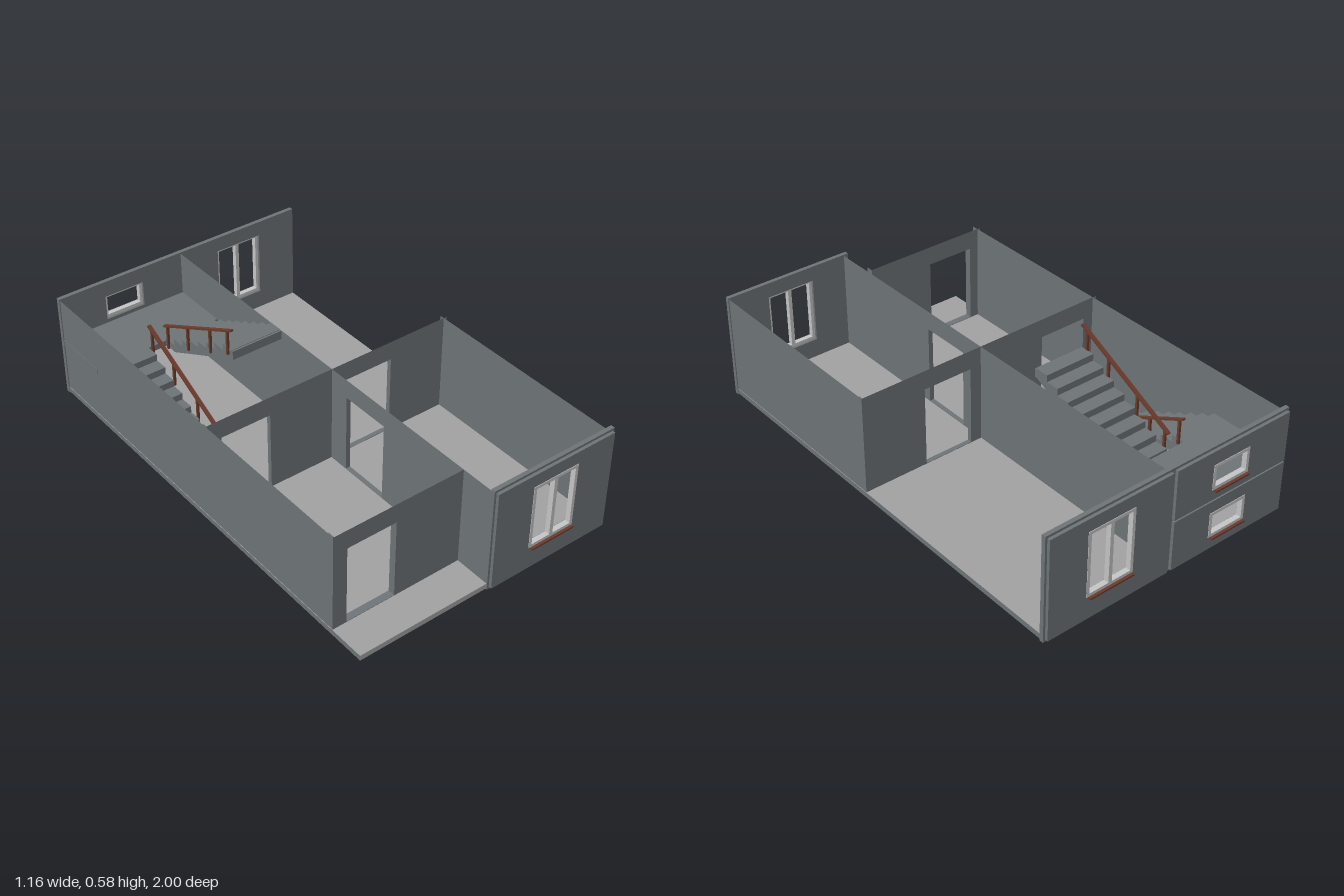
import * as THREE from 'three';

const mat = (name, color) => {
  const m = new THREE.MeshStandardMaterial({ color });
  m.name = name;
  return m;
};

export function createModel() {
  const model = new THREE.Group();
  model.name = 'houseStorey';
  const wallGrey = mat('wallGrey', 0x6d7376);
  const floorGrey = mat('floorGrey', 0xa0a0a0);
  const frameGrey = mat('frameGrey', 0xc4c4c4);
  const wood = mat('wood', 0x6b3a2c);

  const add = (parent, name, geometry, material) => {
    const mesh = new THREE.Mesh(geometry, material);
    mesh.name = name;
    parent.add(mesh);
    return mesh;
  };

  // Box given by its min and max corners
  const box = (parent, name, material, x0, x1, y0, y1, z0, z1) => {
    const mesh = add(parent, name, new THREE.BoxGeometry(x1 - x0, y1 - y0, z1 - z0), material);
    mesh.position.set((x0 + x1) / 2, (y0 + y1) / 2, (z0 + z1) / 2);
    return mesh;
  };

  // Upright slab from a rectangle [u0, u1, y0, y1] with rectangular holes
  const slab = ([u0, u1, y0, y1], holes, depth) => {
    const corners = ([a, b, c, d]) => [[a, c], [b, c], [b, d], [a, d]].map(p => new THREE.Vector2(...p));
    const shape = new THREE.Shape(corners([u0, u1, y0, y1]));
    for (const h of holes) shape.holes.push(new THREE.Path(corners(h).reverse()));
    return new THREE.ExtrudeGeometry(shape, { depth, bevelEnabled: false });
  };

  // Remove the top faces: the partition walls are open shells
  const openTop = (geometry, top) => {
    const p = geometry.attributes.position;
    const kept = [];
    for (let i = 0; i < p.count; i += 3) {
      const atTop = [0, 1, 2].every(k => p.getY(i + k) > top - 1e-4);
      if (!atTop) for (let k = 0; k < 3; k++) kept.push(p.getX(i + k), p.getY(i + k), p.getZ(i + k));
    }
    const out = new THREE.BufferGeometry();
    out.setAttribute('position', new THREE.Float32BufferAttribute(kept, 3));
    out.computeVertexNormals();
    return out;
  };

  // Floor slab with wall-coloured side edges
  box(model, 'floor', [wallGrey, wallGrey, floorGrey, floorGrey, floorGrey, floorGrey],
    -0.578, 0.578, 0.005, 0.028, -0.97, 0.97);

  // Partition walls
  const TOP = 0.455, T = 0.02;
  const wallGeo = (a, b, doors, t) =>
    openTop(slab([a, b, 0.012, TOP], doors.map(([u, v]) => [u, v, 0.03, 0.373]), t), TOP);
  const crossWall = (name, x0, x1, z, t, doors) => {
    add(model, name, wallGeo(x0, x1, doors, t), wallGrey).position.z = z;
  };
  const longWall = (name, z0, z1, x, doors) => {
    const wall = add(model, name, wallGeo(z0, z1, doors, T), wallGrey);
    wall.rotation.y = -Math.PI / 2;
    wall.position.x = x + T;
  };
  crossWall('middleCrossWall', -0.572, 0.572, 0.05, T, [[-0.51, -0.29], [0.07, 0.29]]);
  crossWall('porchWall', -0.572, 0, 0.785, 0.03, [[-0.515, -0.3]]);
  longWall('centreWall', -0.96, 0.96, 0, [[0.16, 0.38]]);
  longWall('rightSideWall', -0.96, 0.815, -0.576, []);
  longWall('leftSideWall', 0.05, 0.96, 0.556, []);

  // Outer facades: base plate, raised panels, windows
  const windowUnit = (parent, [x0, x1, y0, y1], mullion) => {
    const f = 0.013;
    const panes = mullion === undefined
      ? [[x0 + f, x1 - f, y0 + f, y1 - f]]
      : [[x0 + f, mullion - 0.008, y0 + f, y1 - f], [mullion + 0.008, x1 - f, y0 + f, y1 - f]];
    add(parent, 'windowFrame', slab([x0, x1, y0, y1], panes, 0.022), frameGrey).position.z = 0.966;
    box(parent, 'windowSill', wood, x0 + 0.008, x1 - 0.003, y0 - 0.007, y0, 0.975, 1);
  };
  const facade = (parent, x0, x1, panels, windows) => {
    add(parent, 'facadePlate', slab([x0, x1, 0, 0.46], windows, 0.018), wallGrey).position.z = 0.955;
    for (const [y0, y1] of panels) {
      const inside = windows.filter(w => w[2] > y0 && w[3] < y1);
      const panel = slab([x0 + 0.009, x1 - 0.009, y0, y1], inside, 0.014);
      add(parent, 'facadePanel', panel, wallGrey).position.z = 0.972;
    }
  };
  const front = new THREE.Group();
  front.name = 'frontFacade';
  const back = new THREE.Group();
  back.name = 'backFacade';
  back.rotation.y = Math.PI;
  model.add(front, back);

  const frontWindow = [0.18, 0.395, 0.11, 0.395];
  facade(front, 0, 0.58, [[0.01, 0.45]], [frontWindow]);
  windowUnit(front, frontWindow, 0.288);

  const backWindow = [-0.4, -0.185, 0.11, 0.395];
  const stairWindows = [[0.19, 0.37, 0.065, 0.175], [0.19, 0.37, 0.28, 0.39]];
  facade(back, -0.58, 0, [[0.01, 0.45]], [backWindow]);
  facade(back, 0, 0.58, [[0.01, 0.227], [0.234, 0.45]], stairWindows);
  windowUnit(back, backWindow, -0.292);
  stairWindows.forEach(w => windowUnit(back, w));

  // Staircase: two saw-tooth flights joined by a landing
  const stairs = new THREE.Group();
  stairs.name = 'staircase';
  model.add(stairs);
  const STEPS = 8, RUN = 0.47 / STEPS, RISE = 0.0295;
  const flight = (name, x0, x1, y0, zStart, dir) => {
    const pts = [[0, y0]];
    for (let i = 0; i < STEPS; i++) pts.push([i * RUN, y0 + (i + 1) * RISE], [(i + 1) * RUN, y0 + (i + 1) * RISE]);
    pts.push([STEPS * RUN, y0 + (STEPS - 1) * RISE - 0.01], [RUN, y0 - 0.005]);
    const shape = new THREE.Shape(pts.map(([u, y]) => new THREE.Vector2(zStart + dir * u, y)));
    const geo = new THREE.ExtrudeGeometry(shape, { depth: x1 - x0, bevelEnabled: false });
    const mesh = add(stairs, name, geo, wallGrey);
    mesh.rotation.y = -Math.PI / 2;
    mesh.position.x = x1;
  };
  const landingY = 0.028 + STEPS * RISE;
  flight('lowerFlight', -0.56, -0.335, 0.028, -0.23, -1);
  flight('upperFlight', -0.25, -0.02, landingY - 0.02, -0.7, 1);
  box(stairs, 'landing', wallGrey, -0.578, 0, landingY - 0.025, landingY, -0.957, -0.7);
  box(stairs, 'topStep', wallGrey, -0.25, -0.02, 0.44, 0.478, -0.272, -0.222);

  // Sloping handrails with posts
  const rail = (x, yFront, yBack) => {
    const zF = -0.22, zB = -0.7;
    const yAt = z => yFront + (yBack - yFront) * (z - zF) / (zB - zF);
    const handrail = add(stairs, 'handrail',
      new THREE.BoxGeometry(0.016, 0.008, Math.hypot(zF - zB, yFront - yBack)), wood);
    handrail.position.set(x, (yFront + yBack) / 2, (zF + zB) / 2);
    handrail.rotation.x = Math.atan2(yBack - yFront, zF - zB);
    for (const z of [-0.25, -0.37, -0.53, -0.68]) {
      box(stairs, 'railPost', wood, x - 0.005, x + 0.005, yAt(z) - 0.11, yAt(z), z - 0.005, z + 0.005);
    }
  };
  rail(-0.327, 0.13, 0.37);
  rail(-0.253, 0.578, 0.338);

  return model;
}
